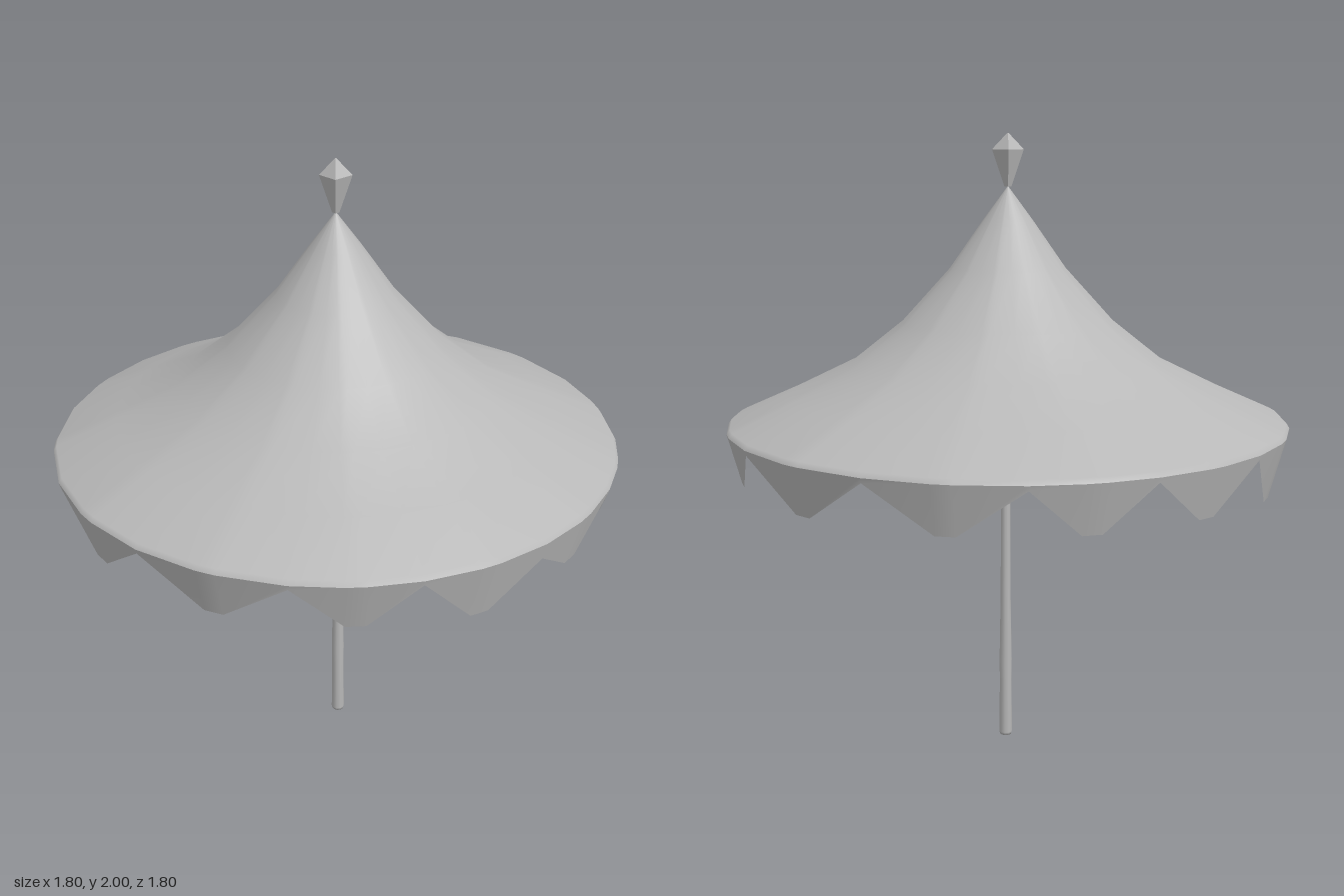
import * as THREE from 'three';

const fabric = new THREE.MeshStandardMaterial({ color: 0xb8b8b8, side: THREE.DoubleSide });
fabric.name = 'light grey';

// hand-cut valance: angle of each notch in degrees, from the front towards +x
const notches = [7.6, 38, 62, 88, 113, 135, 163, 196, 226, 250, 277, 305, 337];
const deepFlaps = [2, 10];

// columns around the rim: a notch, then the two corners of a blunt flap tip
const columns = [];
notches.forEach((a, i) => {
  const next = i + 1 < notches.length ? notches[i + 1] : notches[0] + 360;
  const mid = (a + next) / 2;
  const tip = deepFlaps.includes(i) ? 0.9 : 0.93;
  columns.push({ angle: a, low: a === 88 ? 1.03 : 1.07 });
  columns.push({ angle: mid - 2, low: tip }, { angle: mid + 2, low: tip });
});

// closed surface of revolution; each row gives [radius, height] for a column
function ringSurface(rows) {
  const pos = [], index = [], n = columns.length;
  for (const row of rows) {
    for (const c of columns) {
      const [r, y] = row(c), a = THREE.MathUtils.degToRad(c.angle);
      pos.push(Math.sin(a) * r, y, Math.cos(a) * r);
    }
  }
  for (let j = 0; j < rows.length - 1; j++) {
    for (let i = 0; i < n; i++) {
      const k = (i + 1) % n, a = j * n, b = a + n;
      index.push(a + i, a + k, b + k, a + i, b + k, b + i);
    }
  }
  const g = new THREE.BufferGeometry();
  g.setAttribute('position', new THREE.Float32BufferAttribute(pos, 3));
  g.setIndex(index);
  g.computeVertexNormals();
  return g;
}

export function createModel() {
  const model = new THREE.Group();
  const add = (name, geometry) => {
    const mesh = new THREE.Mesh(geometry, fabric);
    mesh.name = name;
    model.add(mesh);
    return mesh;
  };

  // swept canopy
  const profile = [
    [0.9, 1.085], [0.89, 1.1], [0.7, 1.185], [0.5, 1.283],
    [0.34, 1.41], [0.185, 1.58], [0.08, 1.73], [0.002, 1.835],
  ];
  add('canopy', ringSurface(profile.map((p) => () => p)));

  // zigzag valance, leaning slightly inwards
  add('valance', ringSurface([
    (c) => [0.9 - (1.085 - c.low) * 0.27, c.low],
    () => [0.9, 1.085],
  ]));

  // slightly uneven pole
  const pole = [[0, 0.005], [0.019, 0.005], [0.022, 0.015], [0.02, 0.2], [0.021, 0.27],
    [0.017, 0.5], [0.015, 1], [0.012, 1.8]];
  const poleMesh = add('pole', new THREE.LatheGeometry(
    pole.map(([r, y]) => new THREE.Vector2(r, y - 0.005)), 10));
  poleMesh.position.x = 0.01;

  // four-sided finial
  const upper = new THREE.CylinderGeometry(0.002, 0.05, 0.05, 4, 1, false, Math.PI / 4).toNonIndexed();
  const lower = new THREE.CylinderGeometry(0.05, 0.011, 0.115, 4, 1, false, Math.PI / 4).toNonIndexed();
  upper.computeVertexNormals();
  lower.computeVertexNormals();
  add('finialTop', upper).position.y = 1.975;
  add('finialBase', lower).position.y = 1.8925;

  return model;
}
